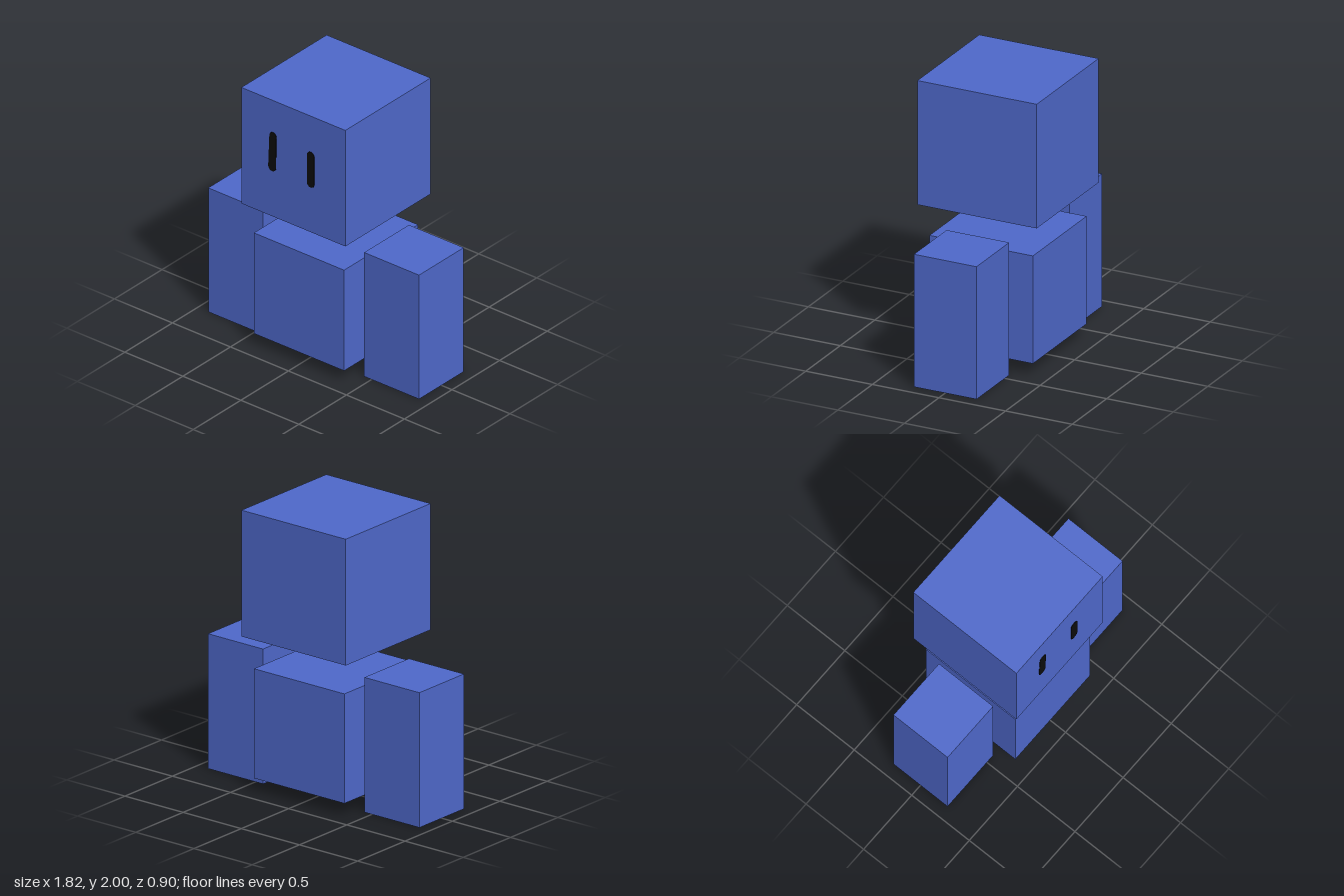
import * as THREE from 'three';

export function createModel() {
  const model = new THREE.Group();
  model.name = 'blockFigure';

  const blue = new THREE.MeshStandardMaterial({ color: 0x4f69cc });
  blue.name = 'blue';
  const black = new THREE.MeshStandardMaterial({ color: 0x0d0d0d });
  black.name = 'black';

  function block(name, width, height, depth, x, bottom) {
    const mesh = new THREE.Mesh(new THREE.BoxGeometry(width, height, depth), blue);
    mesh.name = name;
    mesh.position.set(x, bottom + height / 2, 0);
    model.add(mesh);
  }

  // Floating head, torso and a matching pair of arms
  block('head', 0.896, 0.896, 0.896, 0, 1.104);
  block('torso', 0.777, 0.777, 0.777, 0, 0.095);
  for (const side of [-1, 1]) {
    block(side > 0 ? 'leftArm' : 'rightArm', 0.473, 0.957, 0.47, side * 0.672, 0);
  }

  // Hand-drawn stroke eyes: thin plates with round ends, [x, y, radius] at bottom and top
  function eye(name, [bx, by, br], [tx, ty, tr]) {
    const shape = new THREE.Shape();
    shape.absarc(tx, ty, tr, 0, Math.PI, false);
    shape.absarc(bx, by, br, Math.PI, Math.PI * 2, false);
    shape.closePath();
    const geometry = new THREE.ExtrudeGeometry(shape, {
      depth: 0.004, bevelEnabled: false, curveSegments: 10,
    });
    const mesh = new THREE.Mesh(geometry, black);
    mesh.name = name;
    mesh.position.z = 0.447;
    model.add(mesh);
  }
  eye('rightEye', [-0.182, 1.487, 0.033], [-0.175, 1.724, 0.03]);
  eye('leftEye', [0.15, 1.481, 0.031], [0.15, 1.692, 0.031]);

  return model;
}
